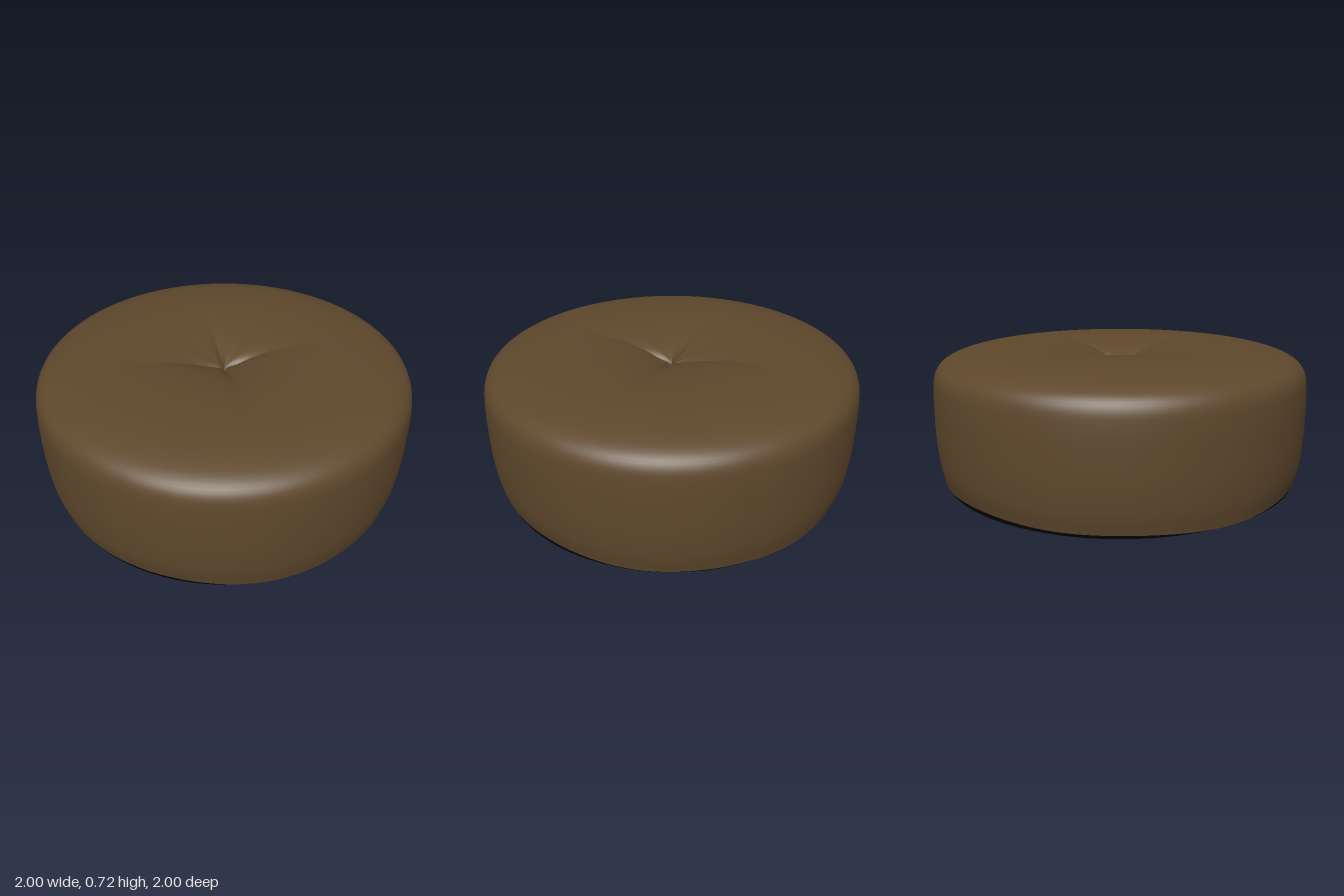
import * as THREE from 'three';
import { mergeVertices } from 'three/addons/utils/BufferGeometryUtils.js';

const SEGMENTS = 160;

// Spin a profile, reshape it by a rule, and weld it so the shading is smooth
function softLathe(points, rule) {
  let geo = new THREE.LatheGeometry(points, SEGMENTS);
  const pos = geo.attributes.position;
  const v = new THREE.Vector3();
  for (let i = 0; i < pos.count; i++) {
    v.fromBufferAttribute(pos, i);
    rule(v, Math.hypot(v.x, v.z), Math.atan2(v.z, v.x));
    pos.setXYZ(i, v.x, v.y, v.z);
  }
  geo.deleteAttribute('uv');
  geo.deleteAttribute('normal');
  geo = mergeVertices(geo, 1e-5);
  geo.computeVertexNormals();
  return geo;
}

// Slightly uneven hem where the fabric meets the base
const hem = (a) => 0.008 * Math.sin(3 * a + 0.6) + 0.004 * Math.sin(7 * a);

export function createModel() {
  const fabric = new THREE.MeshStandardMaterial({ color: 0x5f482c });
  fabric.name = 'brown fabric';
  const black = new THREE.MeshStandardMaterial({ color: 0x060606 });
  black.name = 'black base';

  const group = new THREE.Group();
  group.name = 'pouf';

  // Cushion: rounded side and top, from the hem to the centre
  const outline = new THREE.CatmullRomCurve3([
    [0.964, 0.04], [0.985, 0.13], [0.997, 0.25], [1, 0.38], [0.997, 0.52],
    [0.987, 0.6], [0.965, 0.64], [0.92, 0.672], [0.82, 0.702], [0.7, 0.718],
    [0.55, 0.727], [0.38, 0.732], [0.2, 0.732], [0, 0.732],
  ].map(([r, y]) => new THREE.Vector3(r, y, 0)), false, 'centripetal');
  const profile = outline.getSpacedPoints(90).map((p) => new THREE.Vector2(Math.max(p.x, 0), p.y));
  profile[profile.length - 1].x = 0;

  const cushionGeo = softLathe(profile, (v, r, a) => {
    if (v.y > 0.66) {
      // Tufted centre with four creases running outwards along the axes
      const crease = r < 1e-4 ? 1 : (1 - Math.abs(Math.sin(2 * a))) ** 2;
      v.y -= 0.115 * Math.exp(-r / 0.17) + 0.025 * crease * Math.exp(-((r / 0.38) ** 2));
    } else {
      // Uneven hem, and two shallow vertical seams in the side
      v.y += hem(a) * Math.max(0, 1 - (v.y - 0.04) / 0.1);
      const side = Math.min(1, (0.66 - v.y) / 0.1);
      for (const seam of [2.29, -0.82]) {
        const k = 1 - 0.004 * side * Math.exp(-(((a - seam) / 0.03) ** 2));
        v.x *= k;
        v.z *= k;
      }
    }
  });
  const cushion = new THREE.Mesh(cushionGeo, fabric);
  cushion.name = 'cushion';
  group.add(cushion);

  // Base: flat underside with a rounded edge that meets the hem
  const basePoints = [[0, 0], [0.45, 0], [0.86, 0], [0.9, 0.003], [0.935, 0.013], [0.956, 0.025], [0.964, 0.04]]
    .map(([r, y]) => new THREE.Vector2(r, y));
  const baseGeo = softLathe(basePoints, (v, r, a) => {
    if (v.y > 0.03) v.y += hem(a);
  });
  const base = new THREE.Mesh(baseGeo, black);
  base.name = 'base';
  group.add(base);

  return group;
}
